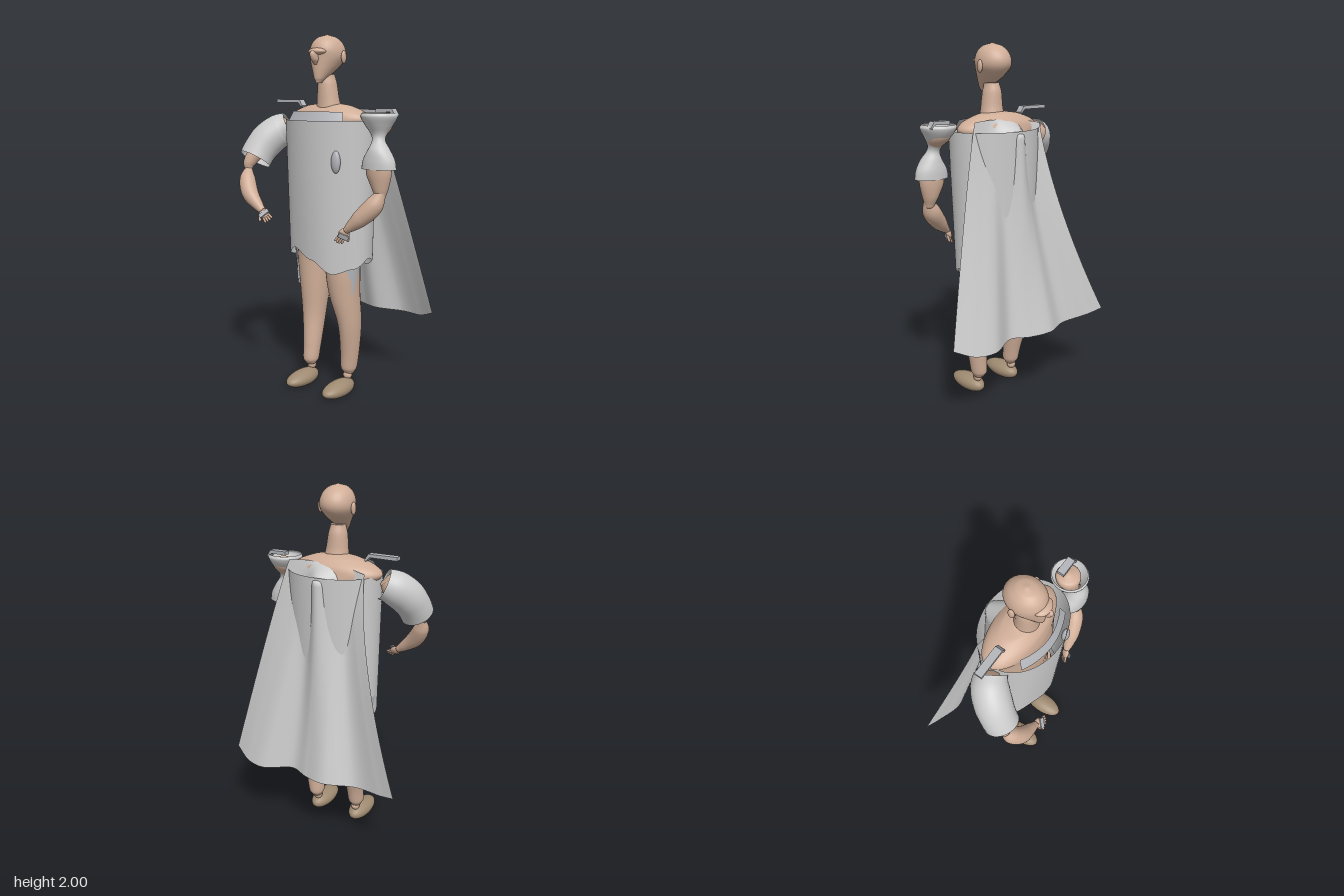
import * as THREE from 'three';
import { ParametricGeometry } from 'three/addons/geometries/ParametricGeometry.js';

const V = (x, y, z) => new THREE.Vector3(x, y, z);
const skin = new THREE.MeshStandardMaterial({ color: 0xd0ae98 });
const shoe = new THREE.MeshStandardMaterial({ color: 0xa08b72 });
const plate = new THREE.MeshStandardMaterial({ color: 0xb4b6bb, side: THREE.DoubleSide });
const cloth = new THREE.MeshStandardMaterial({ color: 0xcccccc, side: THREE.DoubleSide });

function mesh(name, geometry, material, parent) {
  const m = new THREE.Mesh(geometry, material);
  m.name = name;
  parent.add(m);
  return m;
}

// Smooth skin over sections [x, y, z, rx, rz], listed from top to bottom.
function limb(sections, { closed = true, level = false, steps = 40, n = 28 } = {}) {
  const path = new THREE.CatmullRomCurve3(sections.map(s => V(s[0], s[1], s[2])));
  const pos = [], index = [], last = sections.length - 1;
  const ring = (t, k) => {
    const c = path.getPoint(t), T = level ? V(0, -1, 0) : path.getTangent(t);
    const b = T.clone().cross(V(0, 0, 1)).normalize(), d = T.clone().cross(b);
    const f = t * last, i = Math.min(Math.floor(f), last - 1);
    const radius = j => {
      const r = q => { const s = sections[Math.max(0, Math.min(last, q))]; return s[j] ?? s[3]; };
      const w = f - i, a = r(i), e = r(i + 1), m0 = (e - r(i - 1)) / 2, m1 = (r(i + 2) - a) / 2;
      return a + w * (m0 + w * (3 * (e - a) - 2 * m0 - m1 + w * (2 * (a - e) + m0 + m1)));
    };
    for (let q = 0; q < n; q++) {
      const th = q / n * Math.PI * 2;
      const p = c.clone().addScaledVector(b, Math.cos(th) * radius(3) * k)
        .addScaledVector(d, Math.sin(th) * radius(4) * k);
      pos.push(p.x, p.y, p.z);
    }
  };
  if (closed) ring(0, 0.001);
  for (let i = 0; i <= steps; i++) ring(i / steps, 1);
  if (closed) ring(1, 0.001);
  const rows = pos.length / 3 / n;
  for (let i = 0; i < rows - 1; i++) for (let j = 0; j < n; j++) {
    const a = i * n + j, b = i * n + (j + 1) % n;
    index.push(a, b, a + n, b, b + n, a + n);
  }
  const g = new THREE.BufferGeometry();
  g.setAttribute('position', new THREE.Float32BufferAttribute(pos, 3));
  g.setIndex(index);
  g.computeVertexNormals();
  return g;
}

function ball(name, p, s, material, parent) {
  const m = mesh(name, new THREE.SphereGeometry(1, 28, 20), material, parent);
  m.position.set(...p);
  m.scale.set(...s);
  return m;
}

// Hand pointing along dir from the wrist, with four fingers, a thumb and a guard.
function hand(name, wrist, dir, twist, thumbSide, parent) {
  const g = new THREE.Group();
  g.name = name;
  ball('palm', [0, -0.025, 0], [0.03, 0.034, 0.016], skin, g);
  for (let i = 0; i < 4; i++) {
    const x = (i - 1.5) * 0.013;
    const f = mesh('finger', new THREE.CapsuleGeometry(0.0065, 0.034, 4, 8), skin, g);
    f.position.set(x, -0.067 + Math.abs(i - 1.5) * 0.004, 0);
    f.rotation.z = x * 5;
  }
  const th = mesh('thumb', new THREE.CapsuleGeometry(0.008, 0.03, 4, 8), skin, g);
  th.position.set(thumbSide * 0.032, -0.035, 0.006);
  th.rotation.z = thumbSide * 0.5;
  const guard = mesh('handGuard', new THREE.BoxGeometry(0.06, 0.026, 0.008), plate, g);
  guard.position.set(0, -0.036, 0.017);
  g.position.set(...wrist);
  g.quaternion.setFromUnitVectors(V(0, -1, 0), V(...dir).normalize());
  g.rotateY(twist);
  parent.add(g);
}

export function createModel() {
  const root = new THREE.Group();
  root.name = 'cloakedFigure';

  // Head, face and neck
  mesh('head', limb([[.01, 2, .03, .006], [.01, 1.988, .03, .045, .052], [.01, 1.96, .028, .076, .088],
    [.01, 1.92, .025, .092, .108], [.01, 1.88, .025, .092, .107], [.01, 1.84, .04, .074, .093],
    [.01, 1.80, .066, .05, .068], [.01, 1.765, .096, .028, .036], [.01, 1.742, .105, .013, .02]],
    { level: true }), skin, root);
  ball('brow', [.01, 1.908, .115], [.055, .02, .045], skin, root);
  mesh('nose', limb([[.01, 1.925, .13, .008], [.01, 1.9, .145, .016, .03], [.01, 1.865, .14, .018, .026],
    [.01, 1.84, .13, .008, .01]], { level: true, n: 16 }), skin, root);
  for (const s of [-1, 1]) ball('ear', [.01 + s * .1, 1.88, .015], [.012, .034, .018], skin, root);
  mesh('neck', limb([[.012, 1.79, .035, .04, .045], [.012, 1.74, .032, .052, .055],
    [.015, 1.66, .03, .062, .06], [.018, 1.59, .025, .072, .068]]), skin, root);

  // Body
  mesh('torso', limb([[0, 1.637, 0, .05, .04], [0, 1.625, 0, .13, .075], [0, 1.59, 0, .225, .115],
    [-.003, 1.55, 0, .266, .128], [0, 1.5, 0, .235, .135], [.01, 1.3, .01, .21, .13], [.01, 1.1, .01, .18, .12],
    [.01, .95, 0, .2, .13], [0, .86, 0, .17, .12], [0, .8, 0, .07, .07]], { level: true, steps: 60, n: 40 }), skin, root);

  // Legs and shoes
  mesh('rightLeg', limb([[-.13, .95, -.03, .09], [-.145, .75, -.045, .098, .098], [-.14, .58, -.045, .087, .094],
    [-.135, .4, -.03, .068, .075], [-.123, .22, .005, .051, .057], [-.122, .13, .02, .045, .05],
    [-.122, .1, .02, .03]], { level: true }), skin, root);
  mesh('leftLeg', limb([[.11, .95, .03, .09], [.125, .75, .04, .098, .1], [.135, .58, .035, .086, .094],
    [.158, .4, .015, .062, .078], [.15, .22, .002, .052, .058], [.143, .13, .0, .045, .05],
    [.143, .1, .0, .03]], { level: true }), skin, root);
  for (const x of [-.122, .142]) {
    ball('ankle', [x, .088, .012], [.026, .026, .026], skin, root);
    const g = new THREE.SphereGeometry(1, 32, 24), p = g.attributes.position;
    for (let i = 0; i < p.count; i++) {
      const z = p.getZ(i), y = p.getY(i);
      p.setXYZ(i, p.getX(i) * .063, Math.max(0, .032 + y * .048 * (1 - .15 * z)), .1 + z * .13);
    }
    g.computeVertexNormals();
    mesh('shoe', g, shoe, root).position.x = x;
  }

  // Right arm, bent forward
  mesh('rightUpperArm', limb([[-.29, 1.53, .03, .05], [-.32, 1.49, .045, .072], [-.37, 1.43, .1, .066],
    [-.405, 1.35, .17, .046], [-.425, 1.29, .205, .034], [-.42, 1.25, .215, .018]]), skin, root);
  mesh('rightForearm', limb([[-.425, 1.275, .205, .018], [-.41, 1.21, .235, .044], [-.36, 1.13, .268, .047],
    [-.29, 1.07, .28, .031], [-.25, 1.04, .285, .02]]), skin, root);
  hand('rightHand', [-.253, 1.042, .285], [.8, -.5, .25], .5, -1, root);
  mesh('rightSleeve', limb([[-.275, 1.5, .02, .085], [-.325, 1.475, .05, .097], [-.37, 1.425, .1, .1],
    [-.395, 1.365, .145, .096], [-.405, 1.315, .175, .094]], { closed: false }), cloth, root);

  // Left arm, hanging
  mesh('leftUpperArm', limb([[.37, 1.575, .035, .015], [.37, 1.555, .038, .062], [.37, 1.51, .045, .06],
    [.38, 1.45, .075, .03], [.39, 1.36, .085, .058], [.39, 1.28, .085, .07, .06], [.4, 1.2, .085, .045],
    [.405, 1.14, .09, .024]], { level: true }), skin, root);
  mesh('leftForearm', limb([[.415, 1.19, .09, .024], [.378, 1.11, .11, .05], [.31, 1.035, .14, .045],
    [.255, .985, .158, .026], [.235, .968, .163, .018]]), skin, root);
  hand('leftHand', [.238, .972, .162], [-.5, -.8, .15], .9, 1, root);
  mesh('leftSleeve', limb([[.363, 1.588, .05, .09, .092], [.365, 1.57, .05, .097, .1], [.368, 1.53, .053, .075, .08],
    [.375, 1.48, .065, .043], [.382, 1.445, .077, .036], [.39, 1.4, .085, .06, .055], [.39, 1.35, .085, .09, .064],
    [.39, 1.3, .085, .1, .066]], { closed: false, level: true }), cloth, root);

  // Tunic with a wavy hem; hem heights go round from the front toward the left
  const hem = [.78, .71, .74, .79, .76, .71, .7, .75, .78, .75, .77, .83];
  mesh('tunic', new ParametricGeometry((u, v, p) => {
    const a = u * Math.PI * 2, f = (u % 1) * 12, i = Math.floor(f), w = f - i;
    const low = THREE.MathUtils.lerp(hem[i], hem[(i + 1) % 12], w * w * (3 - 2 * w));
    const k = 1 + .012 * v * Math.sin(a * 6);
    p.set(.017 - .007 * v + Math.sin(a) * (.271 - .013 * v) * k, THREE.MathUtils.lerp(1.545, low, v),
      .01 - .015 * v + Math.cos(a) * (.213 - .025 * v) * k);
  }, 96, 24), cloth, root);

  // Collar plate, chest patch and thigh guards
  mesh('collar', new ParametricGeometry((u, v, p) => {
    const s = 2 * u - 1;
    p.set(.008 + s * (.17 + .02 * v), 1.592 - .06 * v, .165 + .025 * v - .05 * s * s);
  }, 24, 3), plate, root);
  ball('chestPatch', [.175, 1.33, .172], [.028, .06, .02], plate, root);
  for (const [s, x, z] of [[1, .126, .04], [-1, -.144, -.03]])
    mesh('thighGuard', new ParametricGeometry((u, v, p) => {
      const a = .5 + u * 1.6, low = .59 + .13 * (2 * u - 1) ** 2;
      const r = .107 - .013 * v;
      p.set(x + s * Math.sin(a) * r, THREE.MathUtils.lerp(.86, low, v), z + Math.cos(a) * r);
    }, 20, 8), plate, root);

  // Thin hooked shoulder plates
  const hook = (name, x0, x1, y) => {
    const t = .02, e = .03, sh = new THREE.Shape([[x0, y], [x0, y - t], [x1 - e, y - t + .002], [x1 - .008, y - .042],
      [x1, y - .034], [x1 - e + .008, y]].map(q => new THREE.Vector2(...q)));
    mesh(name, new THREE.ExtrudeGeometry(sh, { depth: .042, bevelEnabled: false }), plate, root).position.z = -.008;
  };
  hook('rightShoulderPlate', -.357, -.168, 1.655);
  hook('leftShoulderPlate', .33, .452, 1.61);

  // Cape, narrow at the shoulders and flaring into folds
  const top = new THREE.CatmullRomCurve3([V(-.22, 1.57, -.105), V(-.1, 1.59, -.09), V(.01, 1.6, -.1),
    V(.12, 1.605, -.095), V(.24, 1.6, -.1)]);
  const bottom = new THREE.CatmullRomCurve3([V(-.53, .455, -.345), V(-.44, .43, -.315), V(-.27, .41, -.275),
    V(-.1, .42, -.345), V(.03, .415, -.315), V(.14, .42, -.275), V(.3, .41, -.34), V(.42, .415, -.32), V(.53, .46, -.27)]);
  mesh('cape', new ParametricGeometry((u, v, p) => {
    const a = top.getPoint(u), b = bottom.getPoint(u);
    p.lerpVectors(a, b, v);
    p.x = THREE.MathUtils.lerp(a.x, b.x, Math.pow(v, 1.6 - .7 * u));
    const mid = Math.exp(-(((p.x - .01) / .075) ** 2));
    p.z -= .12 * mid * Math.min(1, v * 15) * (1 - v) ** 2;
  }, 80, 48), cloth, root);

  return root;
}
